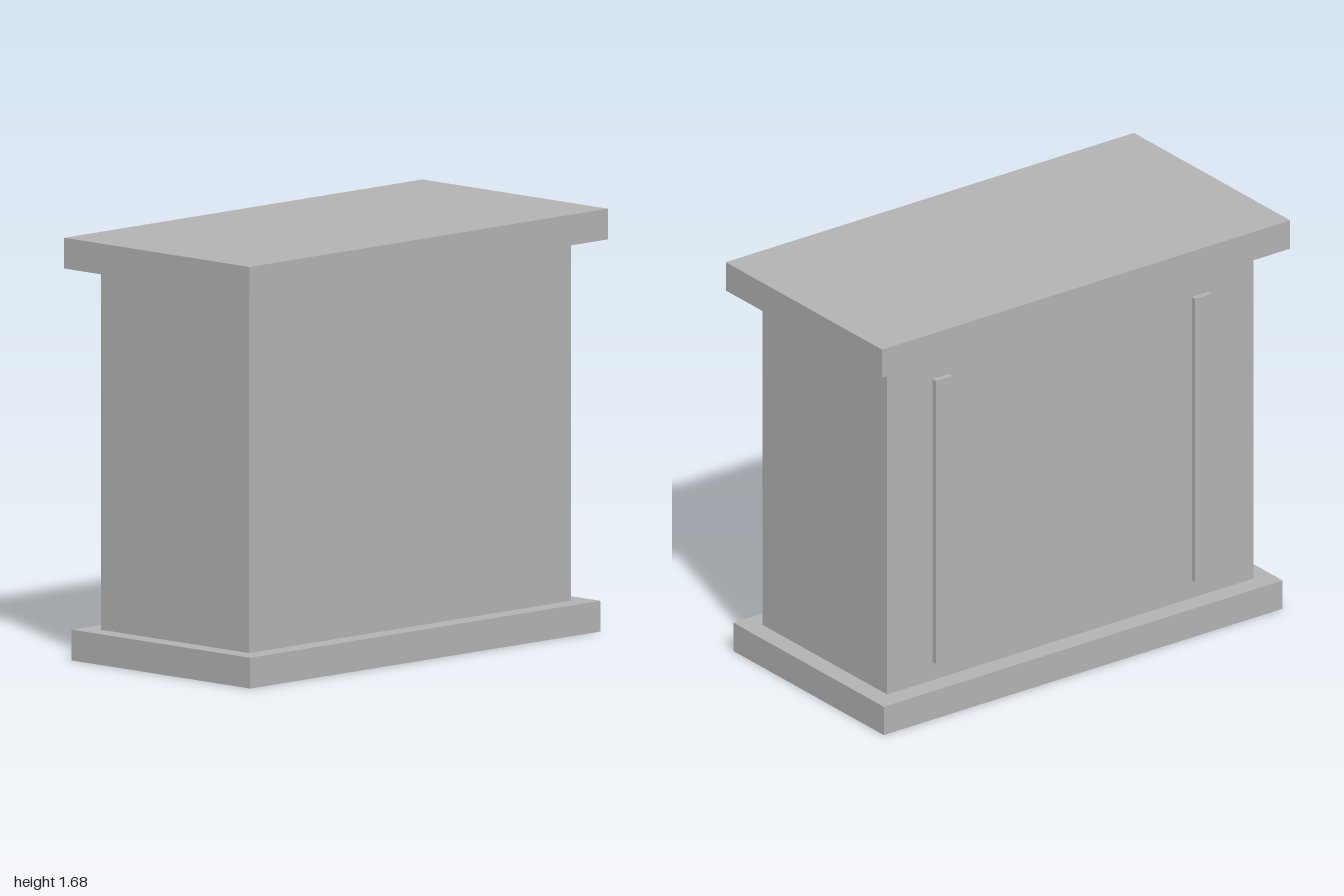
import * as THREE from 'three';

export function createModel() {
  const model = new THREE.Group();
  model.name = 'cabinet';

  const grey = new THREE.MeshStandardMaterial({ color: 0xb2b2b2 });
  grey.name = 'plain grey';

  // Box given by its size, bottom height and centre in x and z
  function addBox(name, width, height, depth, bottom, x = 0, z = 0) {
    const mesh = new THREE.Mesh(new THREE.BoxGeometry(width, height, depth), grey);
    mesh.name = name;
    mesh.position.set(x, bottom + height / 2, z);
    model.add(mesh);
  }

  // Plinth, body and overhanging top
  addBox('plinth', 1.955, 0.122, 0.98, 0);
  addBox('body', 1.796, 1.433, 0.813, 0.122);
  addBox('topSlab', 2, 0.122, 1.018, 1.555);

  // Pair of upright strips on the back
  for (const [name, side] of [['leftBackStrip', 1], ['rightBackStrip', -1]]) {
    addBox(name, 0.08, 1.222, 0.022, 0.199, side * 0.635, -0.417);
  }

  return model;
}
